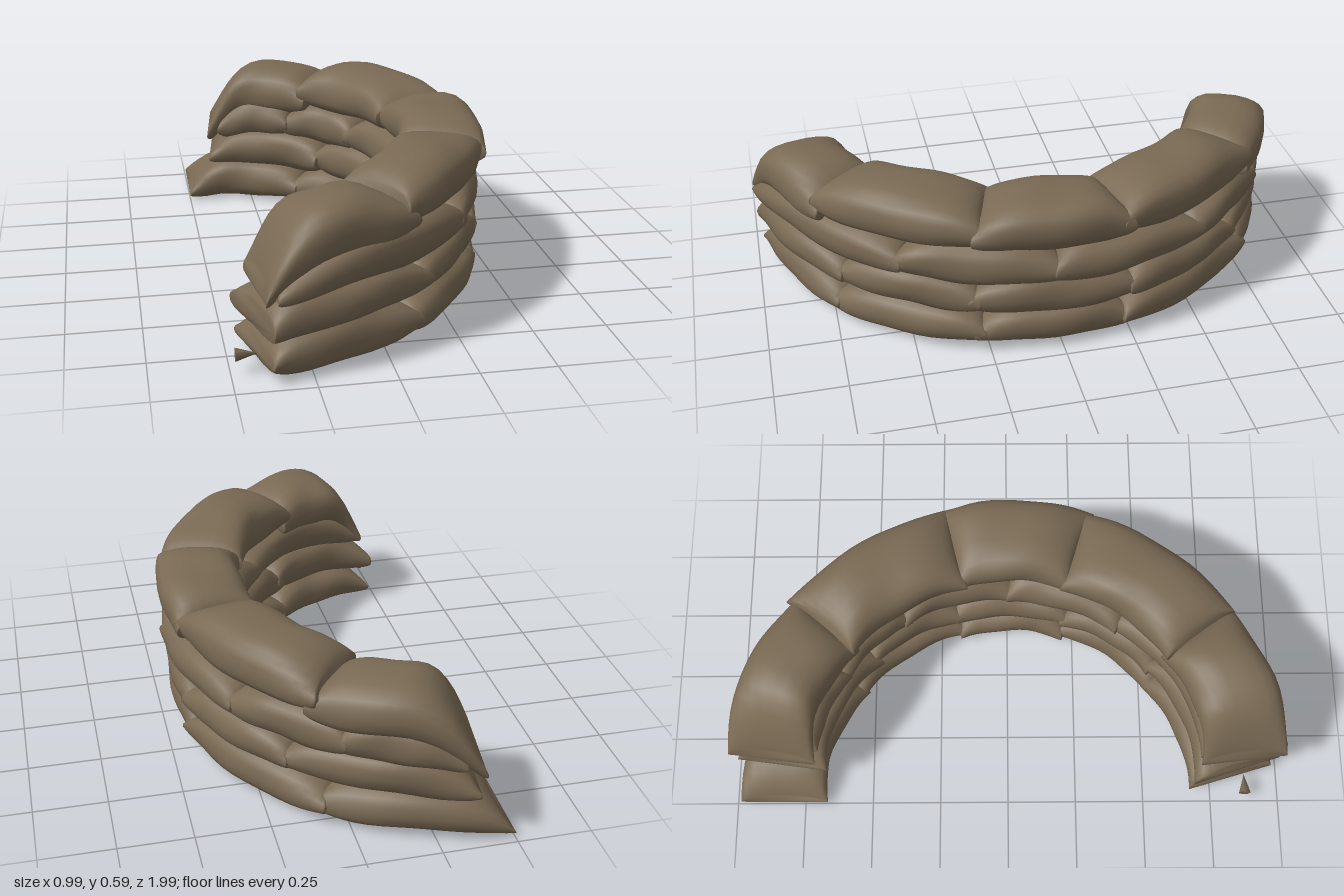
import * as THREE from 'three';

const CENTRE_X = -0.51;
const STEPS = 18, SIDES = 22;

// Signed power, for rounded-box cross-sections
const spow = (v, p) => Math.sign(v) * Math.pow(Math.abs(v), p);

// A stuffed bag bent along the arc from angle a to angle b (degrees, 90 = front end).
// Each end has its own thickness (share of h), drop and skew (inner corner ahead, degrees).
function bagGeometry({ a, b, y, h, w, r, endA, endB, seed }) {
  const pos = [], index = [];
  for (let i = 0; i <= STEPS; i++) {
    const s = 0.5 - 0.5 * Math.cos(Math.PI * i / STEPS);
    const e = 2 * s - 1, edge = Math.abs(e);
    const end = e < 0 ? endA : endB;
    const full = Math.pow(Math.max(0, 1 - edge ** 3.6), 0.6);
    const height = h * (end.thick + (1 - end.thick) * full) / 2;
    const width = w * (1 + 0.05 * edge ** 6) / 2;
    const drop = end.drop * edge ** 2.6;
    for (let j = 0; j < SIDES; j++) {
      const t = j / SIDES * Math.PI * 2;
      // soft folds running along and across the cloth
      const fold = 0.04 * Math.sin(3 * t + seed * 2.1 + s * 4) + 0.03 * Math.sin(s * 11 + seed * 1.7 + 2 * t);
      const out = r + spow(Math.cos(t), 0.75) * width * (1 + fold * 0.6);
      const up = y - drop + spow(Math.sin(t), 0.8) * height * (1 + fold);
      // corners of the seam reach further than its middle
      const ears = edge ** 8 * Math.sign(e) * 1.3 * Math.cos(t) ** 2;
      const skew = -end.skew * edge ** 4 * Math.cos(t);
      const angle = THREE.MathUtils.degToRad(a + (b - a) * s + ears + skew);
      pos.push(CENTRE_X + Math.cos(angle) * out, Math.max(0.005, up), Math.sin(angle) * out);
    }
  }
  for (let i = 0; i < STEPS; i++) {
    for (let j = 0; j < SIDES; j++) {
      const p = i * SIDES + j, q = i * SIDES + (j + 1) % SIDES;
      index.push(p, q, p + SIDES, q, q + SIDES, p + SIDES);
    }
  }
  // end seams
  const last = STEPS * SIDES;
  for (let j = 1; j < SIDES - 1; j++) {
    index.push(0, j + 1, j, last, last + j, last + j + 1);
  }
  const g = new THREE.BufferGeometry();
  g.setAttribute('position', new THREE.Float32BufferAttribute(pos, 3));
  g.setIndex(index);
  g.computeVertexNormals();
  return g;
}

export function createModel() {
  const group = new THREE.Group();
  group.name = 'sandbagWall';
  const burlap = new THREE.MeshStandardMaterial({ color: 0x7a6a54 });
  burlap.name = 'burlap';

  // Courses from the ground up: joint angles from the back end to the front end,
  // and the shape of the free ends
  const courses = [
    { name: 'bottomBag', y: 0.089, h: 0.172, w: 0.305, r: 0.825, joints: [-88, -52, -14, 17, 50, 83],
      back: { thick: 0.15, drop: 0.06, skew: 0 }, front: { thick: 0.3, drop: 0.03, skew: 2 } },
    { name: 'lowerBag', y: 0.222, h: 0.175, w: 0.305, r: 0.832, joints: [-81, -44, -15, 18, 48, 83.5],
      back: { thick: 0.2, drop: 0.04, skew: 0 }, front: { thick: 0.5, drop: 0.045, skew: 2.5 } },
    { name: 'upperBag', y: 0.346, h: 0.175, w: 0.3, r: 0.842, joints: [-78, -56, -31, 1, 34, 80.5],
      back: { thick: 0.3, drop: 0.05, skew: 0 }, front: { thick: 0.3, drop: 0.06, skew: 0 } },
    { name: 'topBag', y: 0.491, h: 0.19, w: 0.295, r: 0.846, joints: [-81.5, -50, -13, 17, 53, 82.5],
      back: { thick: 0.3, drop: 0.18, skew: 0 }, front: { thick: 0.35, drop: 0.17, skew: 0 } },
  ];
  const joint = { thick: 0.42, drop: 0.015, skew: 0 };

  courses.forEach((c, row) => {
    const count = c.joints.length - 1;
    for (let i = 0; i < count; i++) {
      const isBack = i === 0, isFront = i === count - 1;
      const seed = row * 5 + i;
      const sag = row === 3 && (isFront || isBack) ? 0.04 : 0;
      const bag = new THREE.Mesh(bagGeometry({
        a: c.joints[i],
        b: c.joints[i + 1],
        y: c.y - sag,
        h: c.h,
        w: c.w,
        r: c.r + 0.006 * Math.sin(seed * 2.3),
        endA: isBack ? c.back : joint,
        endB: isFront ? c.front : joint,
        seed,
      }), burlap);
      bag.name = c.name + (i + 1);
      group.add(bag);
    }
  });

  // Gathered tuft of cloth on the front end
  const tuft = new THREE.Mesh(new THREE.ConeGeometry(0.022, 0.07, 7), burlap);
  tuft.name = 'tiedTuft';
  tuft.rotation.z = -Math.PI / 2;
  tuft.position.set(-0.45, 0.07, 0.87);
  group.add(tuft);

  return group;
}
